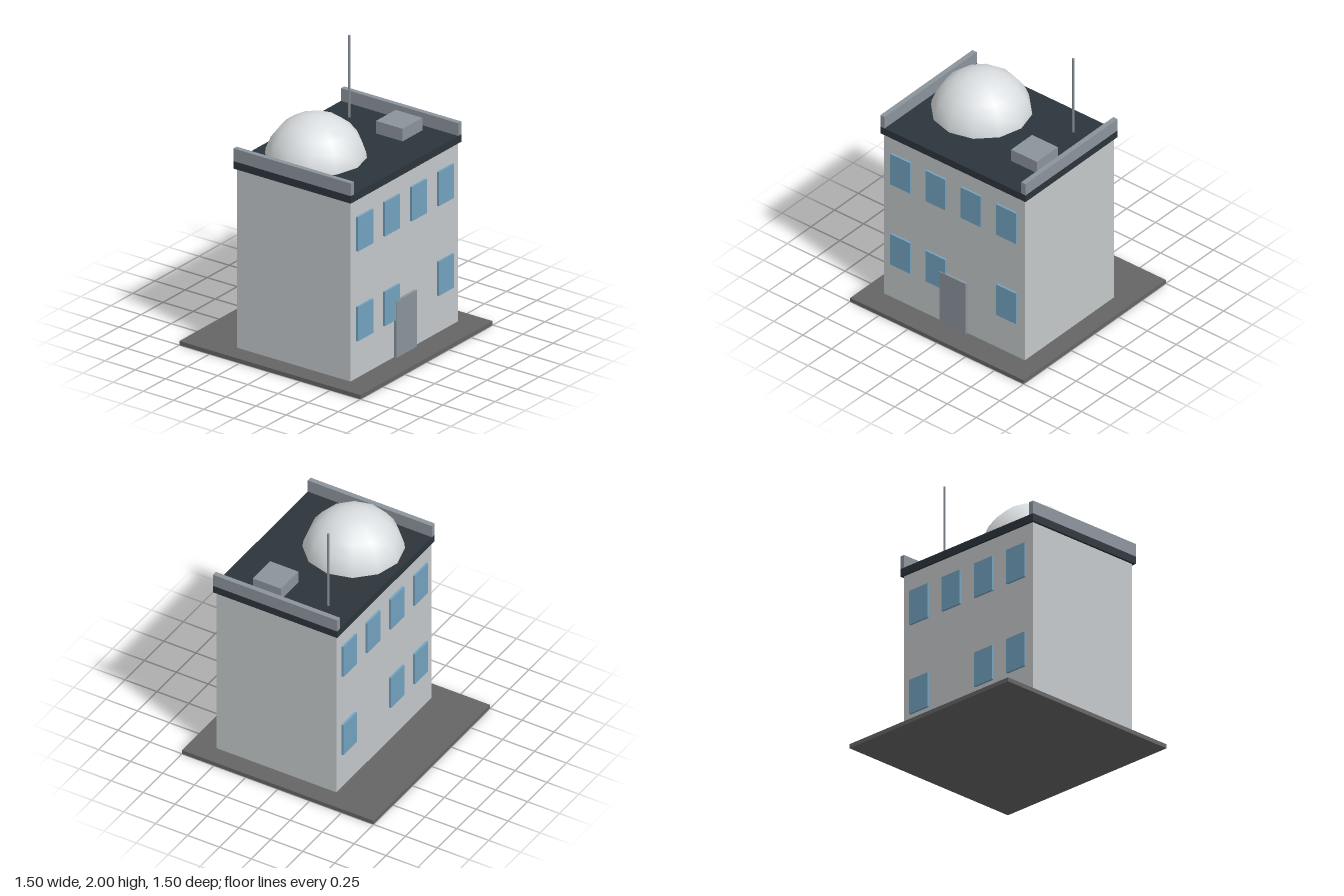
import * as THREE from 'three';

const mat = (name, color) => {
  const m = new THREE.MeshStandardMaterial({ color });
  m.name = name;
  return m;
};

export function createModel() {
  const group = new THREE.Group();
  const wall = mat('wall grey', 0xc4c8ca);
  const roof = mat('roof slate', 0x2c353c);
  const metal = mat('metal grey', 0x8b949c);
  const paving = mat('paving grey', 0x656565);
  const glass = mat('window blue', 0x73a2c0);
  const white = mat('dome white', 0xdadee0);

  const add = (name, geometry, material, x, y, z) => {
    const mesh = new THREE.Mesh(geometry, material);
    mesh.name = name;
    mesh.position.set(x, y, z);
    group.add(mesh);
    return mesh;
  };
  // Box given by its lower and upper limits on each axis
  const box = (name, material, x0, x1, y0, y1, z0, z1) =>
    add(name, new THREE.BoxGeometry(x1 - x0, y1 - y0, z1 - z0), material,
      (x0 + x1) / 2, (y0 + y1) / 2, (z0 + z1) / 2);

  // Ground slab, walls and roof slab
  box('groundSlab', paving, -0.75, 0.75, 0, 0.03, -0.75, 0.75);
  box('walls', wall, -0.61, 0.61, 0.03, 1.345, -0.375, 0.565);
  box('roofSlab', roof, -0.628, 0.628, 1.345, 1.4, -0.391, 0.581);

  // Side parapets
  for (const s of [-1, 1]) {
    const name = s > 0 ? 'leftParapet' : 'rightParapet';
    add(name, new THREE.BoxGeometry(0.037, 0.093, 0.972), metal, s * 0.6095, 1.4465, 0.095);
  }

  // Windows on front and back; one lower bay is blank
  [-0.458, -0.153, 0.153, 0.458].forEach((x, col) => {
    [0.43, 1.088].forEach((y, row) => {
      if (row === 0 && col === 2) return;
      for (const z of [0.571, -0.381]) {
        add(z > 0 ? 'frontWindow' : 'backWindow',
          new THREE.BoxGeometry(0.172, 0.25, 0.019), glass, x, y, z);
      }
    });
  });

  // Entrance door
  box('door', metal, -0.114, 0.114, 0.03, 0.443, 0.56, 0.586);

  // Rooftop dome, vent box and four-sided mast
  add('dome', new THREE.SphereGeometry(0.35, 12, 6, 0, Math.PI * 2, 0, Math.PI / 2),
    white, -0.228, 1.35, 0);
  box('ventBox', metal, 0.3, 0.523, 1.4, 1.492, 0.112, 0.333);
  add('mast', new THREE.CylinderGeometry(0.01, 0.01, 0.6, 4), metal, 0.41, 1.7, -0.19);

  return group;
}
